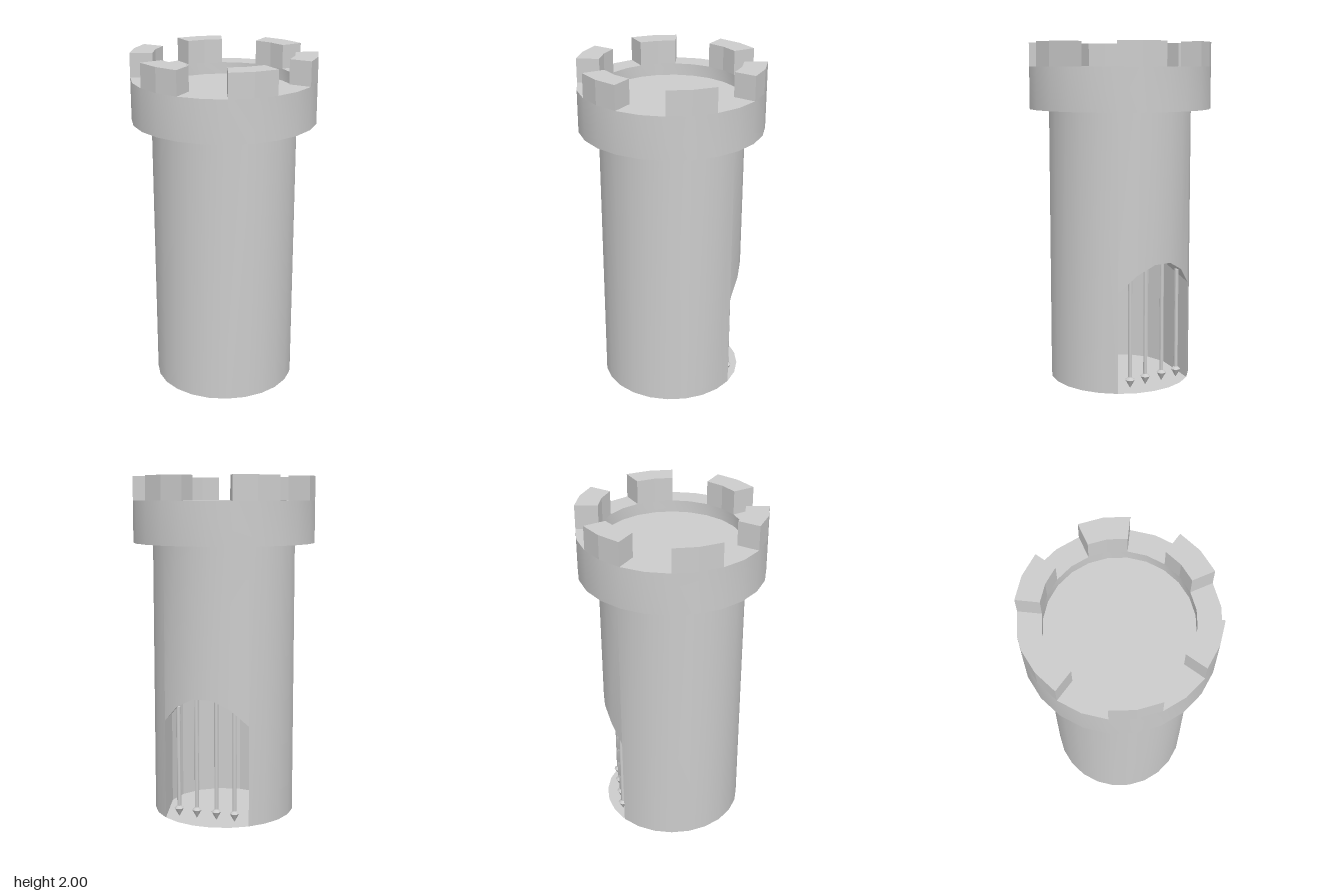
import * as THREE from 'three';
import { toCreasedNormals } from 'three/addons/utils/BufferGeometryUtils.js';

const SIDES = 24, STEP = (Math.PI * 2) / SIDES;
const R = 0.42, RIM = 0.535, INNER = 0.405;
const SHAFT_TOP = 1.615, RIM_TOP = 1.86, TOP = 2;
const DOOR = [0.59, 0.69, 0.745, 0.745, 0.69, 0.59]; // arch heights, one per shaft corner

// Point on a circle; angle 0 is the doorway at the back, growing towards +x
const at = (r, a, y) => [r * Math.sin(a), y, -r * Math.cos(a)];
const corner = (i) => (i + 0.5) * STEP;

function polygons(triangles, crease = 0.6) {
  const g = new THREE.BufferGeometry();
  g.setAttribute('position', new THREE.Float32BufferAttribute(triangles.flat(), 3));
  g.computeVertexNormals();
  return crease ? toCreasedNormals(g, crease) : g;
}

// Shaft wall, facet by facet, cut by the arch
function shaftGeometry() {
  const t = [];
  for (let i = -3; i < SIDES - 3; i++) {
    const door = i < 2;
    const a = at(R, corner(i), door ? DOOR[i + 3] : 0);
    const b = at(R, corner(i + 1), door ? DOOR[i + 4] : 0);
    const c = at(R, corner(i), SHAFT_TOP), d = at(R, corner(i + 1), SHAFT_TOP);
    t.push(b, a, c, b, c, d);
  }
  return polygons(t);
}

// Chamber behind the doorway: wall strip and a ceiling rising inwards
function chamberGeometry() {
  const edge = 2.5 * STEP, plan = [at(R, edge, 0)];
  for (let i = 0; i <= 8; i++) plan.push(at(0.335, THREE.MathUtils.degToRad(88 + 23 * i), 0));
  plan.push(at(R, -edge, 0));
  const roof = plan.map(([x, , z]) => [x, 0.59 + 0.85 * Math.max(0, z + 0.333), z]);
  const t = [];
  for (let i = 0; i < plan.length - 1; i++) {
    t.push(plan[i], plan[i + 1], roof[i + 1], plan[i], roof[i + 1], roof[i]);
  }
  const loop = roof.concat(DOOR.slice(1, 5).map((y, k) => at(R, corner(k - 2), y)));
  loop.forEach((p, i) => t.push(p, loop[(i + 1) % loop.length], [0, 0.92, 0]));
  return polygons(t, 0);
}

// One battlement block, two facets wide
function merlonGeometry(start) {
  const pts = [];
  for (let k = 0; k <= 2; k++) pts.push([RIM, start + k * STEP]);
  for (let k = 2; k >= 0; k--) pts.push([INNER, start + k * STEP]);
  const shape = new THREE.Shape(pts.map(([r, a]) => new THREE.Vector2(r * Math.sin(a), r * Math.cos(a))));
  const g = new THREE.ExtrudeGeometry(shape, { depth: TOP - RIM_TOP, bevelEnabled: false });
  return g.rotateX(-Math.PI / 2).translate(0, RIM_TOP, 0);
}

const lathe = (profile, sides, start = 0) =>
  new THREE.LatheGeometry(profile.map(([x, y]) => new THREE.Vector2(x, y)), sides, start);

export function createModel() {
  const model = new THREE.Group();
  const tower = new THREE.Group();
  tower.name = 'tower';
  tower.rotation.y = THREE.MathUtils.degToRad(3.2);
  model.add(tower);

  const grey = new THREE.MeshStandardMaterial({ color: 0xcccccc });
  const thin = new THREE.MeshStandardMaterial({ color: 0xcccccc, side: THREE.DoubleSide });
  const facet = new THREE.MeshStandardMaterial({ color: 0xcccccc, side: THREE.DoubleSide, flatShading: true });
  const add = (name, geometry, material = grey, parent = tower) => {
    const mesh = new THREE.Mesh(geometry, material);
    mesh.name = name;
    parent.add(mesh);
    return mesh;
  };

  add('shaft', shaftGeometry());
  add('floor', new THREE.CircleGeometry(R, SIDES, STEP / 2).rotateX(-Math.PI / 2), thin);
  add('chamber', chamberGeometry(), facet);

  // Overhanging rim with a sunken platform inside
  const rim = [[0, SHAFT_TOP], [RIM, SHAFT_TOP], [RIM, RIM_TOP], [INNER, RIM_TOP], [INNER, 1.79], [0, 1.79]];
  add('rim', toCreasedNormals(lathe(rim, SIDES, STEP / 2), 0.6));

  // Six battlements
  const battlements = new THREE.Group();
  battlements.name = 'battlements';
  tower.add(battlements);
  for (let k = 0; k < 6; k++) {
    add('merlon', toCreasedNormals(merlonGeometry(corner(4 * k)), 0.2), grey, battlements);
  }

  // Gate of four pointed bars
  const gate = new THREE.Group();
  gate.name = 'gate';
  tower.add(gate);
  for (const [x, top] of [[-0.17, 0.68], [-0.06, 0.77], [0.06, 0.77], [0.17, 0.68]]) {
    const profile = [[0, 0.02], [0.028, 0.07], [0.012, 0.085], [0.012, top], [0, top]];
    add('gateBar', toCreasedNormals(lathe(profile, 10), 0.7), grey, gate).position.set(x, 0, -0.335);
  }
  return model;
}
